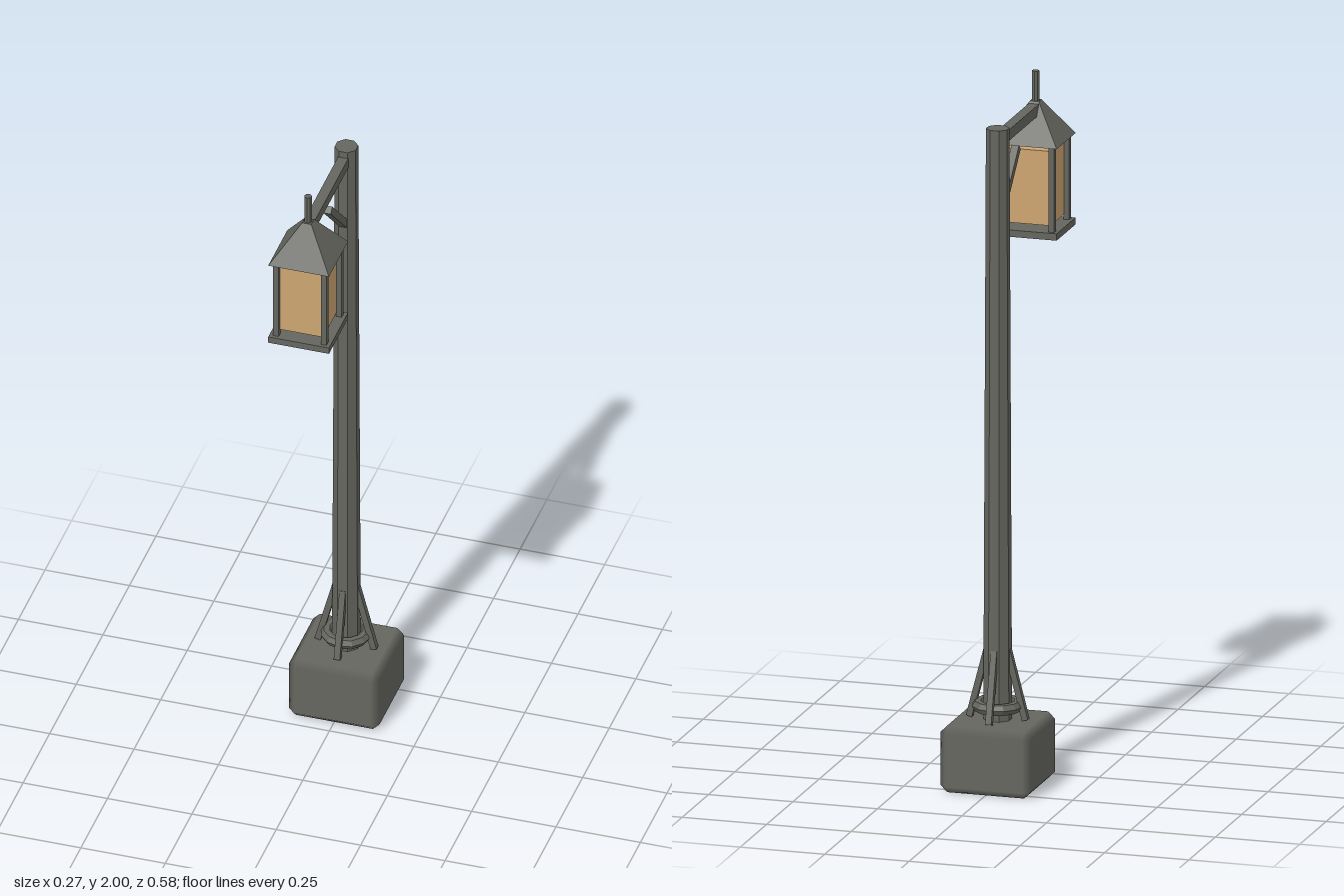
import * as THREE from 'three';
import { ConvexGeometry } from 'three/addons/geometries/ConvexGeometry.js';

const POLE_Z = -0.16;
const LAMP_Z = 0.2;

export function createModel() {
  const iron = new THREE.MeshStandardMaterial({ color: 0x666660 });
  iron.name = 'dark iron';
  const glass = new THREE.MeshStandardMaterial({ color: 0xcda672 });
  glass.name = 'amber glass';

  const model = new THREE.Group();
  model.name = 'streetLamp';

  const add = (parent, name, geometry, x, y, z, material = iron) => {
    const mesh = new THREE.Mesh(geometry, material);
    mesh.name = name;
    mesh.position.set(x, y, z);
    parent.add(mesh);
    return mesh;
  };
  const flat = (geometry) => {
    const g = geometry.toNonIndexed();
    g.computeVertexNormals();
    return g;
  };
  // Square bar running between two points
  const bar = (parent, name, from, to, width) => {
    const a = new THREE.Vector3(...from);
    const b = new THREE.Vector3(...to);
    const mid = a.clone().lerp(b, 0.5);
    const mesh = add(parent, name, new THREE.BoxGeometry(width, a.distanceTo(b), width), mid.x, mid.y, mid.z);
    mesh.quaternion.setFromUnitVectors(new THREE.Vector3(0, 1, 0), b.sub(a).normalize());
    return mesh;
  };

  // Post assembly, centred on the pole axis
  const post = new THREE.Group();
  post.name = 'post';
  post.position.z = POLE_Z;
  model.add(post);

  add(post, 'baseBlock', bevelledBlock(0.134, 0.0975, 0.134, 0.02), 0, 0.0975, 0);

  const pole = new THREE.CylinderGeometry(0.0335, 0.041, 1.745, 8);
  pole.rotateY(Math.PI / 8);
  add(post, 'pole', flat(pole), 0, 1.0545, 0);

  const collar = new THREE.TorusGeometry(0.057, 0.017, 6, 12);
  collar.rotateX(Math.PI / 2);
  add(post, 'collar', flat(collar), 0, 0.235, 0);

  // Four sloping struts around the foot
  for (let i = 0; i < 4; i++) {
    const strut = new THREE.Group();
    strut.name = 'footStrut';
    strut.rotation.y = (i * Math.PI) / 2;
    bar(strut, 'strutBar', [0.083, 0.198, 0], [0.03, 0.4, 0], 0.018);
    post.add(strut);
  }

  // Arm and its diagonal brace
  add(model, 'arm', new THREE.BoxGeometry(0.03, 0.032, 0.375), 0, 1.891, 0.0275);
  bar(model, 'armBrace', [0, 1.66, -0.15], [0, 1.825, 0.015], 0.022);

  // Lantern
  const lantern = new THREE.Group();
  lantern.name = 'lantern';
  lantern.position.z = LAMP_Z;
  model.add(lantern);

  add(lantern, 'lanternFloor', new THREE.BoxGeometry(0.18, 0.02, 0.18), 0, 1.542, 0);
  add(lantern, 'glassBody', new THREE.BoxGeometry(0.13, 0.218, 0.13), 0, 1.676, 0, glass);
  for (const x of [-1, 1]) {
    for (const z of [-1, 1]) {
      add(lantern, 'cornerPost', new THREE.BoxGeometry(0.017, 0.26, 0.017), x * 0.071, 1.675, z * 0.071);
    }
  }
  const roof = new THREE.CylinderGeometry(0.0135 * Math.SQRT2, 0.09 * Math.SQRT2, 0.113, 4);
  roof.rotateY(Math.PI / 4);
  add(lantern, 'roof', flat(roof), 0, 1.8565, 0);
  add(lantern, 'finial', flat(new THREE.CylinderGeometry(0.011, 0.011, 0.1, 8)), 0, 1.95, 0);

  return model;
}

// Block with one bevel on every edge; shading blends across the bevels
function bevelledBlock(hx, hy, hz, bevel) {
  const points = [];
  for (const x of [-1, 1]) for (const y of [-1, 1]) for (const z of [-1, 1]) {
    for (let axis = 0; axis < 3; axis++) {
      const inset = [0, 1, 2].map((i) => (i === axis ? 0 : bevel));
      points.push(new THREE.Vector3(x * (hx - inset[0]), y * (hy - inset[1]), z * (hz - inset[2])));
    }
  }
  const geometry = new ConvexGeometry(points);
  const p = geometry.attributes.position;
  const half = [hx, hy, hz];
  for (let i = 0; i < p.count; i++) {
    const v = [p.getX(i), p.getY(i), p.getZ(i)];
    const n = v.map((c, k) => (Math.abs(c) > half[k] - 0.001 ? Math.sign(c) : 0));
    geometry.attributes.normal.setXYZ(i, ...n);
  }
  return geometry;
}
